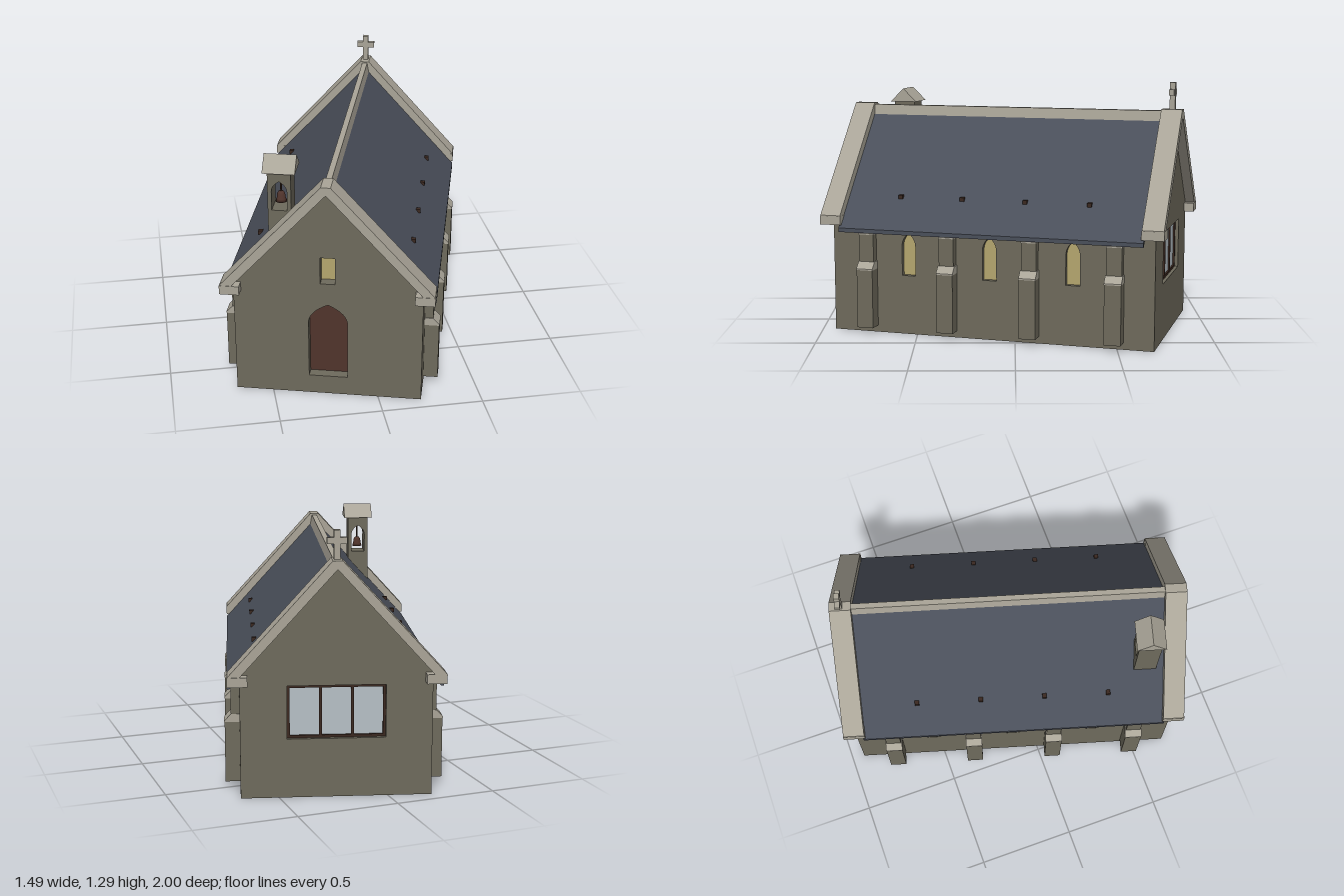
import * as THREE from 'three';

const mat = (name, color) => {
  const m = new THREE.MeshStandardMaterial({ color });
  m.name = name;
  return m;
};

export function createModel() {
  const wallMat = mat('wallStone', 0x6e6a5c);
  const trimMat = mat('paleStone', 0xaaa598);
  const slateMat = mat('slate', 0x4a4f5a);
  const doorMat = mat('doorWood', 0x50342c);
  const barMat = mat('darkWood', 0x3a2820);
  const amberMat = mat('amberGlass', 0xb5a66e);
  const paneMat = mat('clearGlass', 0xb6c0c6);

  const W = 0.458, L = 0.84, T = 0.06;   // half width, half length, wall thickness
  const slope = 1.1;
  const chapel = new THREE.Group();
  chapel.name = 'chapel';

  const add = (name, geo, material, x = 0, y = 0, z = 0, parent = chapel) => {
    const mesh = new THREE.Mesh(geo, material);
    mesh.name = name;
    mesh.position.set(x, y, z);
    parent.add(mesh);
    return mesh;
  };
  const box = (name, material, w, h, d, x, y, z, parent) =>
    add(name, new THREE.BoxGeometry(w, h, d), material, x, y, z, parent);
  const poly = (pts, C = THREE.Shape) => new C(pts.map(p => new THREE.Vector2(p[0], p[1])));
  const rect = (w, y0, y1, C = THREE.Shape) => poly([[-w, y0], [w, y0], [w, y1], [-w, y1]], C);
  const extrude = (shape, depth) =>
    new THREE.ExtrudeGeometry(shape, { depth, bevelEnabled: false, curveSegments: 8 });
  // Pointed arch outline: half width, sill, springing, tip
  const arch = (w, y0, ys, y1, cx = 0, C = THREE.Path) => {
    const s = new C(), c = ys + 0.6 * (y1 - ys);
    s.moveTo(cx - w, y0);
    s.lineTo(cx + w, y0);
    s.lineTo(cx + w, ys);
    s.quadraticCurveTo(cx + w, c, cx, y1);
    s.quadraticCurveTo(cx - w, c, cx - w, ys);
    s.closePath();
    return s;
  };
  // Symmetric outline from its right half, listed from the bottom up to the apex and back
  const mirrored = pts => poly([...pts, ...pts.slice().reverse().map(p => [-p[0], p[1]])]);

  // Gable walls
  const gable = () => poly([[-W, 0], [W, 0], [W, 1.11 - slope * W], [0, 1.11], [-W, 1.11 - slope * W]]);
  const front = gable();
  front.holes.push(arch(0.095, 0.1, 0.4, 0.505), rect(0.036, 0.62, 0.76, THREE.Path));
  add('frontGableWall', extrude(front, T), wallMat, 0, 0, L - T);
  const back = gable();
  back.holes.push(rect(0.235, 0.29, 0.55, THREE.Path));
  add('backGableWall', extrude(back, T), wallMat, 0, 0, -L);
  box('floor', wallMat, 2 * W - 0.02, 0.02, 2 * (L - T), 0, 0.01, 0);

  // Door and small front window, set back in the wall
  add('door', extrude(arch(0.095, 0.1, 0.4, 0.505, 0, THREE.Shape), 0.008), doorMat, 0, 0, L - 0.058);
  box('frontWindow', amberMat, 0.072, 0.14, 0.008, 0, 0.69, L - 0.054);

  // Back window with three panes
  for (let i = -1; i <= 1; i++)
    box('backPane', paneMat, 0.147, 0.248, 0.008, i * 0.157, 0.416, -L + 0.03);
  for (let i = 0; i < 4; i++)
    box('backMullion', barMat, 0.013, 0.26, 0.022, -0.2285 + i * 0.1523, 0.42, -L + 0.028);
  for (const y of [0.296, 0.543])
    box('backWindowRail', barMat, 0.47, 0.014, 0.022, 0, y, -L + 0.028);

  // Side walls, windows and buttresses; each side is built facing +z, then turned
  for (const s of [1, -1]) {
    const side = new THREE.Group();
    side.name = s > 0 ? 'leftSide' : 'rightSide';
    side.rotation.y = s * Math.PI / 2;
    chapel.add(side);
    const wall = rect(L - T, 0, 0.57);
    for (const c of [-0.43, 0, 0.43]) {
      wall.holes.push(arch(0.036, 0.305, 0.455, 0.525, c));
      add('sideWindow', extrude(arch(0.036, 0.305, 0.455, 0.525, c, THREE.Shape), 0.008),
        amberMat, 0, 0, W - 0.035, side);
    }
    add('sideWall', extrude(wall, T), wallMat, 0, 0, W - T, side);

    // Profile in (outward, up), extruded across the buttress
    const across = (name, pts, width, material, c) => {
      const geo = extrude(poly(pts), width);
      geo.translate(0, 0, -width / 2);
      geo.rotateY(-Math.PI / 2);
      add(name, geo, material, c, 0, 0, side);
    };
    for (const c of [-0.645, -0.215, 0.215, 0.645]) {
      const i = W - 0.01;
      across('buttressBase', [[i, 0.035], [0.53, 0.035], [0.53, 0.335], [i, 0.335]], 0.085, wallMat, c);
      across('buttressLedge', [[i, 0.335], [0.532, 0.335], [0.532, 0.342], [0.5, 0.375], [i, 0.375]], 0.087, trimMat, c);
      across('buttressShaft', [[i, 0.37], [0.5, 0.37], [0.5, 0.515], [i, 0.515]], 0.077, wallMat, c);
      across('buttressCap', [[i, 0.515], [0.502, 0.515], [0.502, 0.521], [i, 0.55]], 0.079, trimMat, c);
    }

    // Small snow guards on the roof slope
    for (const z of [-0.495, -0.165, 0.165, 0.495])
      box('roofGuard', barMat, 0.022, 0.02, 0.022, z, 0.7, 0.382, side);
  }

  // Slate roof and ridge
  const slate = mirrored([[0.517, 0.525], [0.517, 0.546], [0, 1.115]].slice(0, 2));
  slate.curves.length = 0;
  const roof = poly([[0.517, 0.525], [0.517, 0.546], [0, 1.115], [-0.517, 0.546],
    [-0.517, 0.525], [-0.505, 0.525], [0, 1.08], [0.505, 0.525]]);
  add('slateRoof', extrude(roof, 1.58), slateMat, 0, 0, -0.79);
  add('ridge', extrude(poly([[-0.024, 1.085], [0.024, 1.085], [0.014, 1.142], [-0.014, 1.142]]), 1.58),
    trimMat, 0, 0, -0.79);

  // Gable copings with kneeler blocks at the eaves
  const coping = poly([[0.5, 0.56], [0.515, 0.56], [0.515, 0.608], [0.023, 1.15], [-0.023, 1.15],
    [-0.515, 0.608], [-0.515, 0.56], [-0.5, 0.56], [0, 1.11]]);
  for (const s of [1, -1]) {
    add('gableCoping', extrude(coping, 0.108), trimMat, 0, 0, s > 0 ? 0.781 : -0.889);
    for (const k of [1, -1])
      box('kneeler', trimMat, 0.096, 0.046, 0.112, k * 0.469, 0.583, s * 0.835);
  }

  // Cross on the back gable
  const cross = new THREE.Group();
  cross.name = 'gableCross';
  chapel.add(cross);
  box('crossPost', trimMat, 0.03, 0.155, 0.028, 0, 1.2095, -0.836, cross);
  box('crossArms', trimMat, 0.094, 0.03, 0.026, 0, 1.237, -0.836, cross);

  // Bellcote with an arched opening, bell and small pitched roof
  const cote = new THREE.Group();
  cote.name = 'bellcote';
  cote.position.set(-0.24, 0, 0.686);
  chapel.add(cote);
  const tower = rect(0.056, 0.75, 1.147);
  tower.holes.push(arch(0.037, 0.95, 1.045, 1.1));
  add('bellTower', extrude(tower, 0.115), wallMat, 0, 0, -0.0575, cote);
  const cap = extrude(poly([[-0.073, 1.145], [0.073, 1.145], [0, 1.217]]), 0.156);
  cap.translate(0, 0, -0.078);
  cap.rotateY(Math.PI / 2);
  add('bellRoof', cap, trimMat, 0, 0, 0, cote);
  const bellProfile = [[0, 0], [0.028, 0], [0.022, 0.014], [0.019, 0.038], [0.012, 0.05], [0, 0.053]];
  add('bell', new THREE.LatheGeometry(bellProfile.map(p => new THREE.Vector2(p[0], p[1])), 16),
    doorMat, 0, 0.975, 0, cote);
  add('bellHanger', new THREE.CylinderGeometry(0.004, 0.004, 0.08, 8), barMat, 0, 1.06, 0, cote);

  // The building stands at an angle to the axes
  chapel.rotation.y = -0.2845;
  const model = new THREE.Group();
  model.name = 'model';
  model.add(chapel);
  return model;
}
